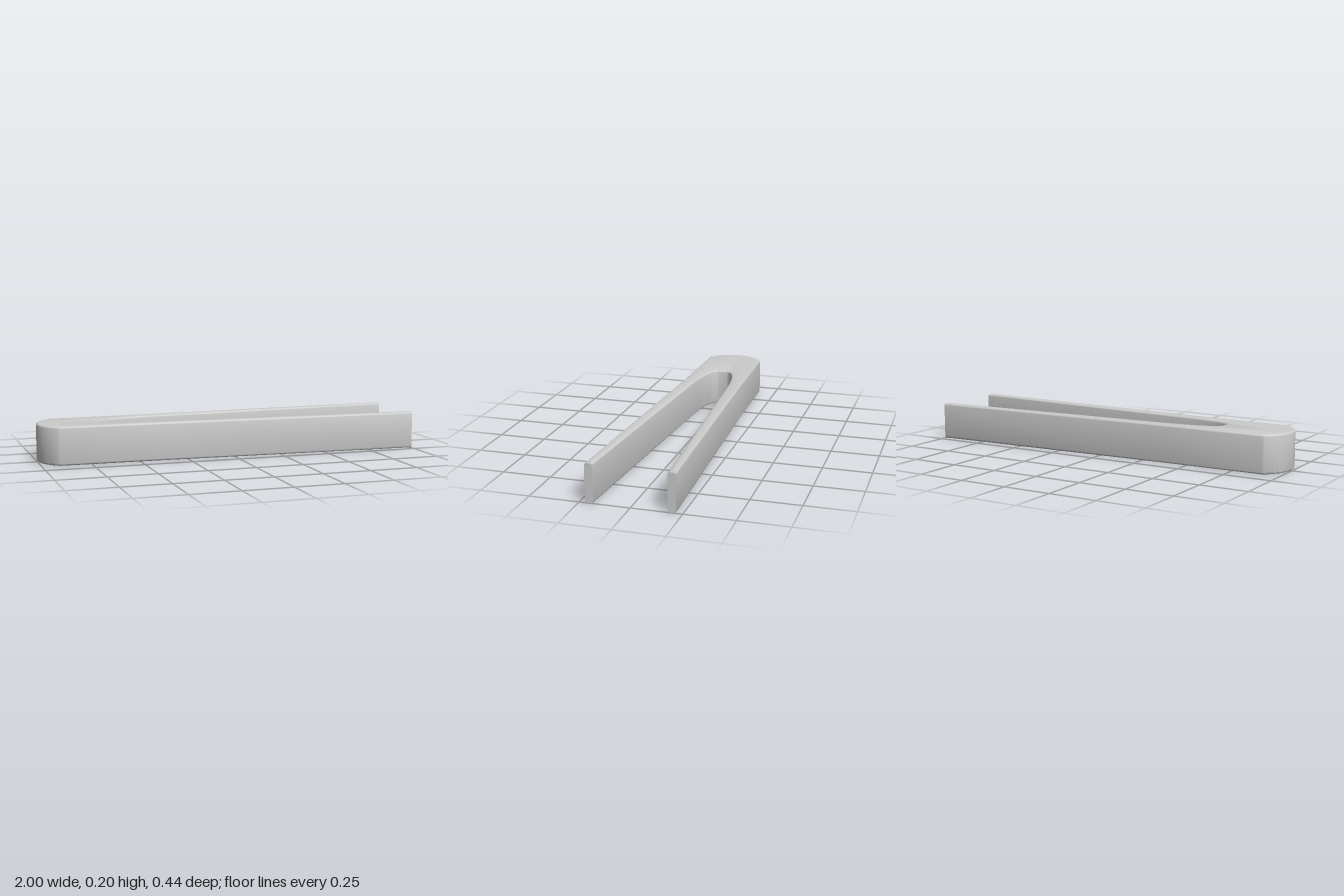
import * as THREE from 'three';
import { toCreasedNormals } from 'three/addons/utils/BufferGeometryUtils.js';

const HEIGHT = 0.196, BEVEL = 0.01;

export function createModel() {
  const group = new THREE.Group();
  group.name = 'tweezers';

  // Plan outline: rounded back, two slightly splayed arms, tapered slot between
  const outline = new THREE.Shape();
  outline.moveTo(1, -0.22);
  outline.lineTo(1, -0.18);
  outline.lineTo(-0.38, -0.099);
  outline.bezierCurveTo(-0.52, -0.086, -0.625, -0.062, -0.63, -0.025);
  outline.lineTo(-0.63, 0.025);
  outline.bezierCurveTo(-0.625, 0.062, -0.52, 0.086, -0.38, 0.099);
  outline.lineTo(1, 0.18);
  outline.lineTo(1, 0.22);
  outline.lineTo(-0.4, 0.167);
  outline.lineTo(-0.91, 0.157);
  const R = 0.182, a = Math.asin(0.157 / R);
  outline.absarc(-1 + R, 0, R, Math.PI - a, Math.PI + a, false);
  outline.lineTo(-0.4, -0.167);
  outline.closePath();

  const geometry = new THREE.ExtrudeGeometry(outline, {
    depth: HEIGHT - 2 * BEVEL,
    bevelThickness: BEVEL,
    bevelSize: BEVEL,
    bevelOffset: -BEVEL,
    bevelSegments: 3,
    curveSegments: 16,
  });
  geometry.rotateX(-Math.PI / 2);
  geometry.translate(0, BEVEL, 0);

  // Cut the arm ends square: only the long edges stay rounded
  const pos = geometry.attributes.position;
  for (let i = 0; i < pos.count; i++) {
    if (pos.getX(i) > 0.97) pos.setX(i, 1);
  }

  const body = new THREE.Mesh(
    toCreasedNormals(geometry, 0.6),
    new THREE.MeshStandardMaterial({ color: 0xcccccc })
  );
  body.name = 'forkedBody';
  group.add(body);
  return group;
}
